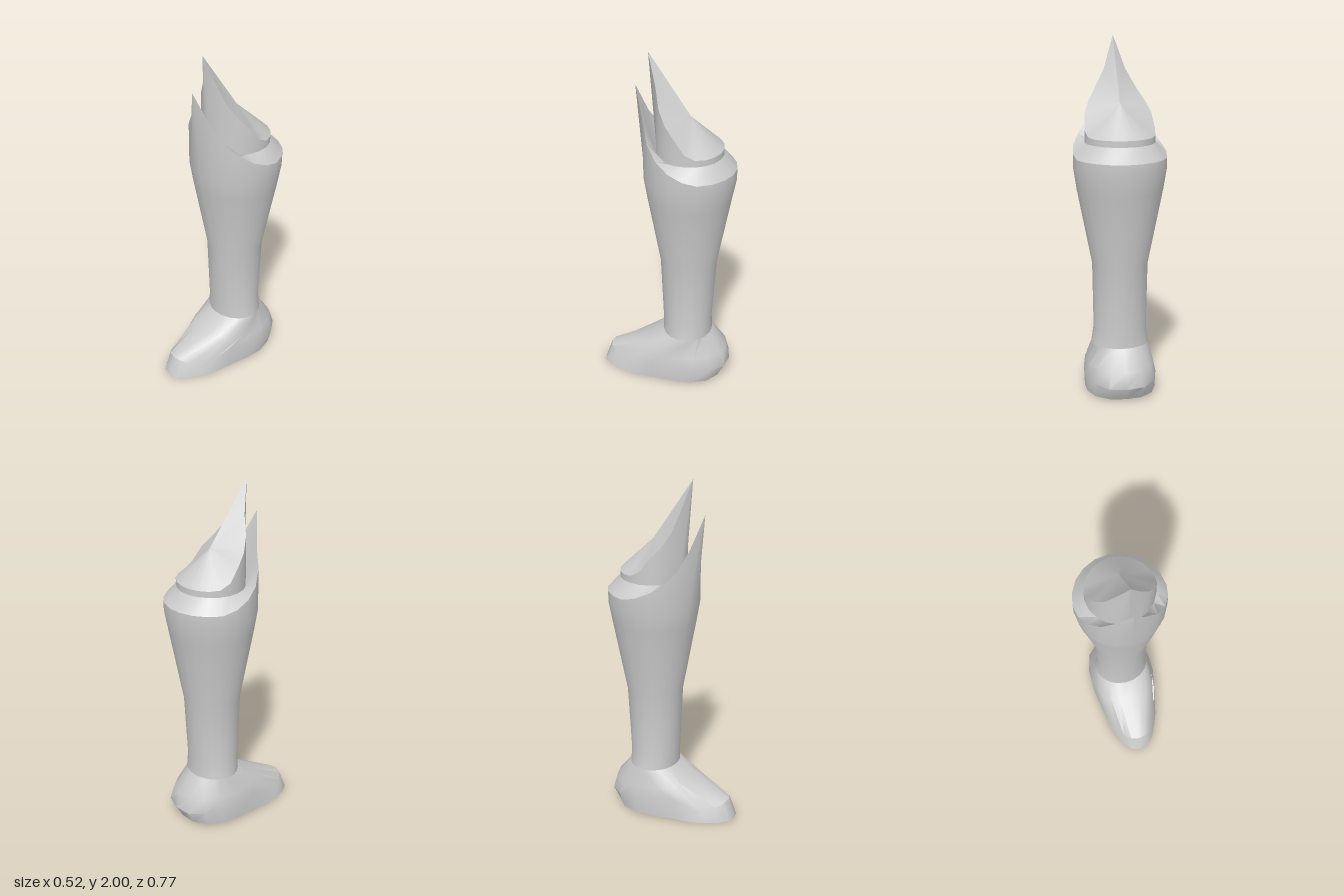
import * as THREE from 'three';
import { toCreasedNormals } from 'three/addons/utils/BufferGeometryUtils.js';

const SIDES = 20, HALF = SIDES / 2;

// Mirrors a half outline (front to back along +x) into a closed ring.
function mirrorRing(half) {
  const back = half.slice(1, HALF).reverse().map(([x, y, z]) => [-x, y, z]);
  return [...half, ...back];
}

// Half of a level oval between a front and a back z.
function oval(y, front, back, halfWidth) {
  const half = [];
  for (let i = 0; i <= HALF; i++) {
    const a = (i / HALF) * Math.PI;
    half.push([halfWidth * Math.sin(a), y, (front + back) / 2 + ((front - back) / 2) * Math.cos(a)]);
  }
  return half;
}

// Skins half outlines listed from bottom to top, with optional fan caps.
function loft(halves, { bottom, top, crease = 0.75 } = {}) {
  const points = halves.flatMap(mirrorRing);
  const index = [];
  const last = (halves.length - 1) * SIDES;
  for (let r = 0; r < halves.length - 1; r++) {
    for (let i = 0; i < SIDES; i++) {
      const a = r * SIDES + i, b = r * SIDES + ((i + 1) % SIDES);
      index.push(a, b, b + SIDES, a, b + SIDES, a + SIDES);
    }
  }
  if (bottom) {
    const c = points.push(bottom) - 1;
    for (let i = 0; i < SIDES; i++) index.push((i + 1) % SIDES, i, c);
  }
  if (top) {
    const c = points.push(top) - 1;
    for (let i = 0; i < SIDES; i++) index.push(last + i, last + ((i + 1) % SIDES), c);
  }
  const geometry = new THREE.BufferGeometry();
  geometry.setAttribute('position', new THREE.Float32BufferAttribute(points.flat(), 3));
  geometry.setIndex(index);
  return toCreasedNormals(geometry, crease);
}

export function createModel() {
  const group = new THREE.Group();
  const material = new THREE.MeshStandardMaterial({ color: 0xcccccc, side: THREE.DoubleSide });
  const add = (name, geometry) => {
    const mesh = new THREE.Mesh(geometry, material);
    mesh.name = name;
    group.add(mesh);
  };

  // Foot: sole, toe and heel edge, instep, ankle
  const sole = [
    [0, 0, 0.385], [0.05, 0, 0.375], [0.095, 0, 0.325], [0.13, 0, 0.25], [0.155, 0, 0.18], [0.175, 0.008, 0.06],
    [0.195, 0.012, -0.07], [0.195, 0.015, -0.17], [0.16, 0.015, -0.26], [0.09, 0.015, -0.315], [0, 0.015, -0.33],
  ];
  const toeEdge = [
    [0, 0.115, 0.345], [0.045, 0.11, 0.335], [0.085, 0.09, 0.3], [0.118, 0.05, 0.24], [0.148, 0.09, 0.15], [0.175, 0.14, 0.06],
    [0.2, 0.13, -0.07], [0.2, 0.11, -0.17], [0.17, 0.1, -0.28], [0.1, 0.09, -0.355], [0, 0.09, -0.375],
  ];
  const instep = [
    [0, 0.22, 0.1], [0.06, 0.22, 0.1], [0.115, 0.215, 0.085], [0.145, 0.2, 0.065], [0.165, 0.19, 0.03], [0.18, 0.19, -0.03],
    [0.188, 0.18, -0.1], [0.183, 0.18, -0.19], [0.15, 0.18, -0.27], [0.085, 0.18, -0.335], [0, 0.18, -0.355],
  ];
  const ankle = oval(0.29, 0.02, -0.265, 0.165);
  add('foot', loft([sole, toeEdge, instep, ankle], { bottom: [0, 0.005, 0] }));

  // Greave: flares from the ankle up to a rim that peaks at the front
  const rimHeights = [1.81, 1.63, 1.535, 1.465, 1.415, 1.38, 1.36, 1.36, 1.36, 1.36, 1.36];
  const rim = oval(0, 0.135, -0.385, 0.26).map(([x, , z], i) => [x, rimHeights[i], i ? z : 0.178]);
  add('greave', loft([
    ankle,
    oval(0.38, 0.022, -0.262, 0.15),
    oval(0.76, 0.04, -0.285, 0.157),
    oval(1.18, 0.115, -0.362, 0.24),
    oval(1.3, 0.135, -0.385, 0.259),
    rim,
  ]));

  // Knee: slanted rim rising to a spike at the front, closed by a domed top
  const kneeHeights = [2, 1.82, 1.72, 1.65, 1.59, 1.51, 1.48, 1.475, 1.475, 1.475, 1.475];
  const kneeRim = oval(0, 0.064, -0.312, 0.195).map(([x, , z], i) => [x, kneeHeights[i], i ? z : 0.107]);
  const kneeBase = kneeRim.map(([x, , z], i) => [x, 1.44, i ? z : 0.064]);

  // Collar: slopes from the greave rim in to the knee
  add('collar', loft([rim, kneeBase]));
  add('kneeSpike', loft([kneeBase, kneeRim], { top: [0, 1.65, -0.127] }));

  return group;
}
